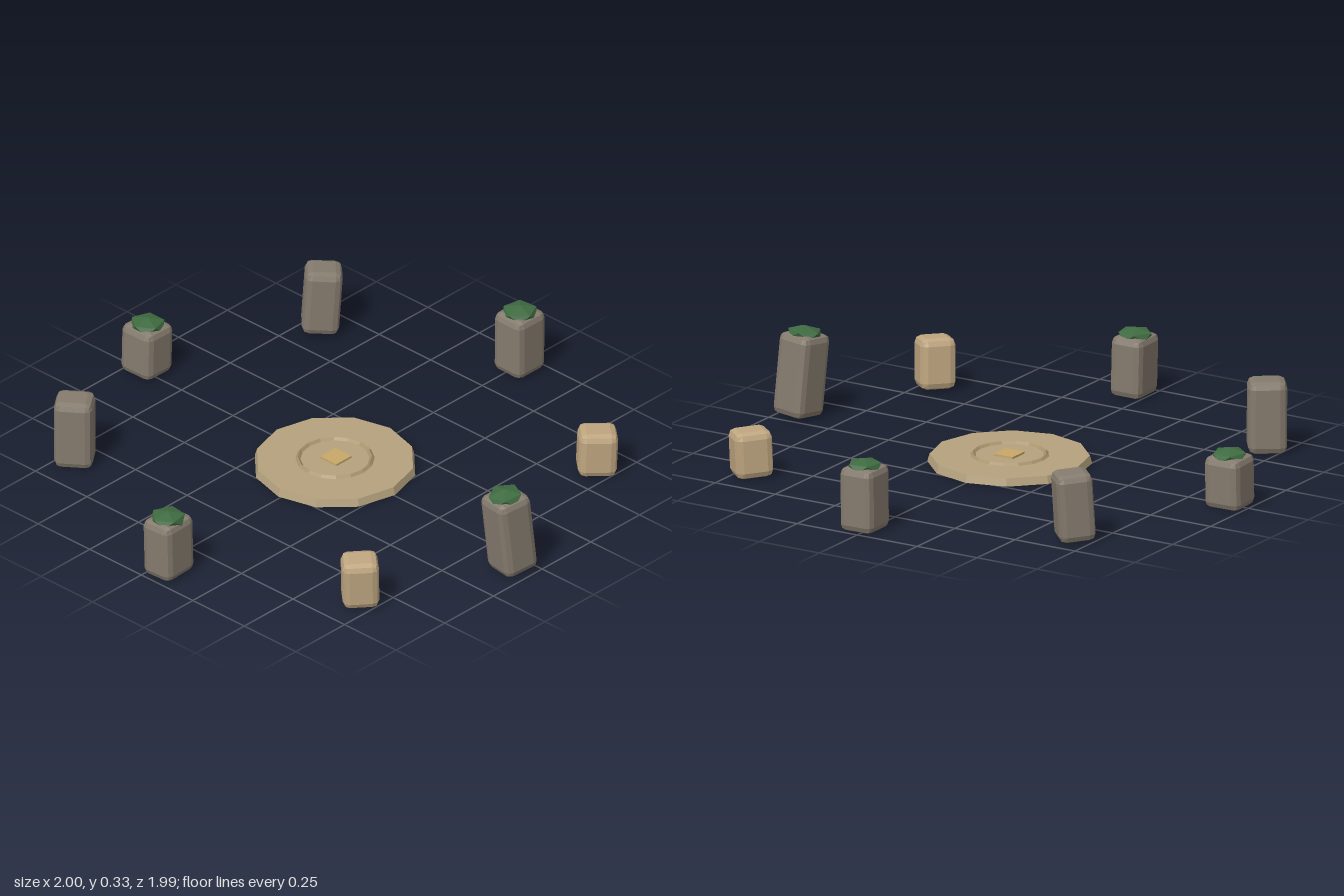
import * as THREE from 'three';
import { RoundedBoxGeometry } from 'three/addons/geometries/RoundedBoxGeometry.js';

function material(name, color) {
  const m = new THREE.MeshStandardMaterial({ color, flatShading: true });
  m.name = name;
  return m;
}

function addMesh(parent, name, geometry, mat, x = 0, y = 0, z = 0) {
  const mesh = new THREE.Mesh(geometry, mat);
  mesh.name = name;
  mesh.position.set(x, y, z);
  parent.add(mesh);
  return mesh;
}

export function createModel() {
  const model = new THREE.Group();
  model.name = 'stoneCircle';

  const greyStone = material('grey stone', 0x857b6e);
  const sandStone = material('sand stone', 0xbfa680);
  const paving = material('paving', 0xb5a27e);
  const ringStone = material('ring stone', 0xa8936a);
  const gold = material('gold', 0xc8a868);
  const moss = material('moss', 0x3f6b41);

  // Central dais: low twelve-sided disc, inlaid ring and square plate
  const dais = new THREE.Group();
  dais.name = 'dais';
  dais.position.set(-0.005, 0, 0);
  model.add(dais);
  addMesh(dais, 'daisDisc', new THREE.CylinderGeometry(0.283, 0.291, 0.028, 12), paving, 0, 0.022, 0);
  const ring = new THREE.TorusGeometry(0.131, 0.009, 4, 16).rotateX(Math.PI / 2);
  addMesh(dais, 'daisRing', ring, ringStone, 0, 0.036, 0);
  addMesh(dais, 'centrePlate', new THREE.BoxGeometry(0.078, 0.009, 0.078), gold, 0, 0.039, -0.004);

  // Moss clump: flattened icosahedron standing on a vertex
  const clump = new THREE.IcosahedronGeometry(0.068, 0)
    .rotateZ(Math.atan(2 / (1 + Math.sqrt(5))))
    .scale(1, 0.42, 1);

  // Standing stones: base x, z; width, height, depth; yaw in degrees; lean of the top per unit height
  const stones = [
    { at: [0.92, 0.065], size: [0.138, 0.3, 0.138], yaw: -10, lean: [-0.05, 0.085], mossy: true },
    { at: [0.685, 0.6], size: [0.12, 0.185, 0.13], yaw: -42, lean: [0.04, 0.06], sand: true },
    { at: [0.055, 0.915], size: [0.126, 0.222, 0.148], yaw: 2, lean: [-0.02, 0.01], mossy: true },
    { at: [-0.695, 0.605], size: [0.125, 0.265, 0.138], yaw: -54, lean: [0, 0.01] },
    { at: [-0.93, -0.01], size: [0.142, 0.19, 0.136], yaw: 1, lean: [0, -0.03], mossy: true },
    { at: [-0.68, -0.635], size: [0.126, 0.25, 0.132], yaw: -45, lean: [0.04, -0.05] },
    { at: [0.015, -0.925], size: [0.134, 0.235, 0.142], yaw: 0, lean: [0.01, 0], mossy: true },
    { at: [0.685, -0.61], size: [0.12, 0.17, 0.138], yaw: -41, lean: [0.03, -0.03], sand: true },
  ];

  stones.forEach(({ at, size, yaw, lean, sand, mossy }, i) => {
    const [w, h, d] = size;
    const stone = new THREE.Group();
    stone.name = `standingStone${i + 1}`;
    stone.rotation.order = 'ZXY';
    stone.rotation.set(lean[1], THREE.MathUtils.degToRad(yaw), -lean[0]);
    // Raise leaning stones so that their lowest edge rests on the ground
    stone.position.set(at[0], 0.004 + 0.05 * (Math.abs(lean[0]) + Math.abs(lean[1])), at[1]);
    model.add(stone);
    addMesh(stone, 'stoneBlock', new RoundedBoxGeometry(w, h, d, 1, 0.025),
      sand ? sandStone : greyStone, 0, h / 2, 0);
    if (mossy) {
      const top = addMesh(stone, 'mossClump', clump, moss, 0, h - 0.002, 0);
      top.rotation.y = i * 0.7;
    }
  });

  return model;
}
